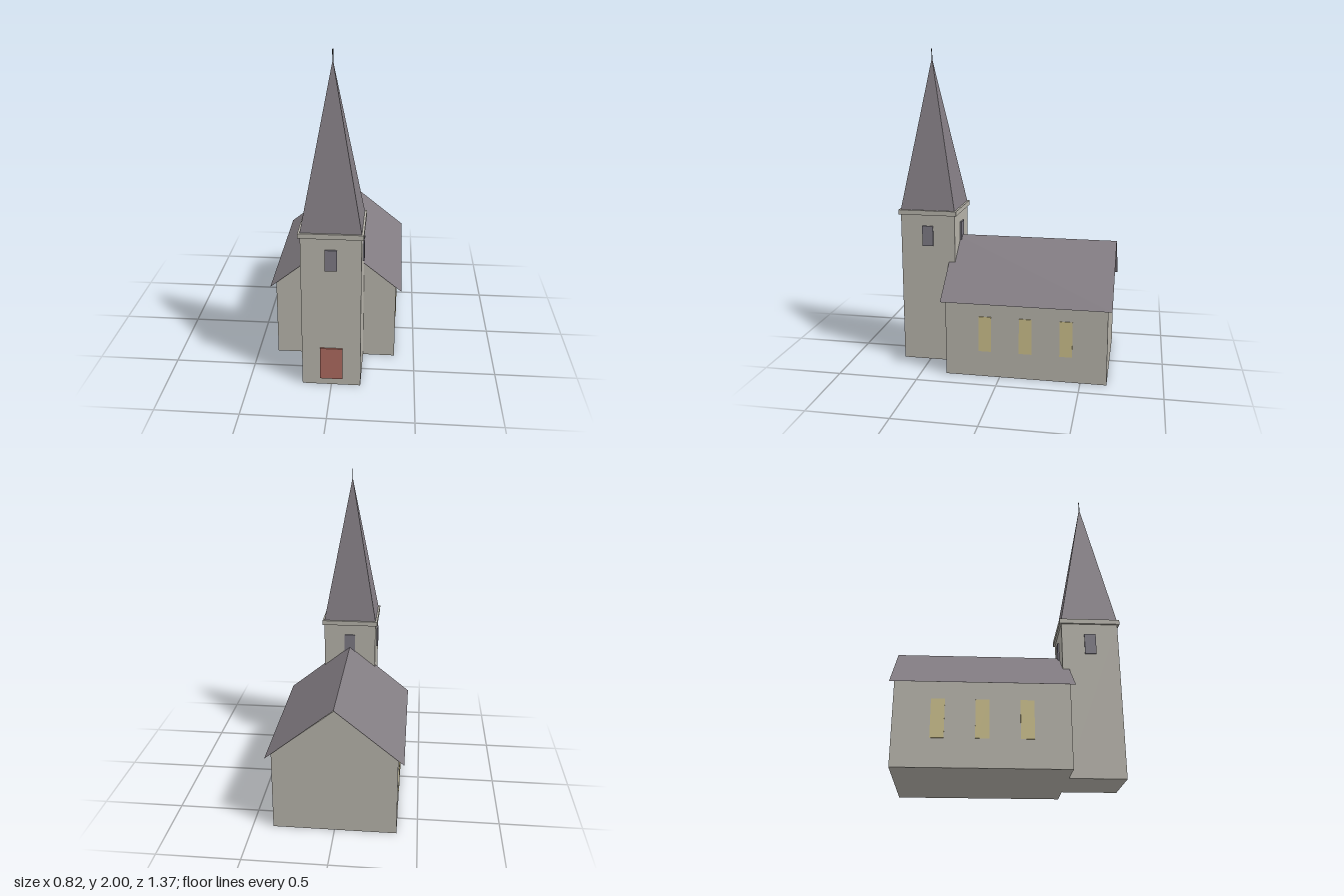
import * as THREE from 'three';

const material = (name, color, side = THREE.FrontSide) => {
  const m = new THREE.MeshStandardMaterial({ color, side });
  m.name = name;
  return m;
};

export function createModel() {
  const wall = material('stone wall', 0xb5b2a9);
  const roof = material('slate roof', 0x827c82, THREE.DoubleSide);
  const shutter = material('dark window', 0x7c7983);
  const glass = material('warm window', 0xc9bd8a);
  const paint = material('red door', 0xab695e);
  const iron = material('dark iron', 0x333336);

  const group = new THREE.Group();
  const add = (name, geometry, mat, x = 0, y = 0, z = 0, parent = group) => {
    const mesh = new THREE.Mesh(geometry, mat);
    mesh.name = name;
    mesh.position.set(x, y, z);
    parent.add(mesh);
    return mesh;
  };

  // Nave: gabled outline extruded along z
  const gable = new THREE.Shape([
    [-0.375, 0], [0.375, 0], [0.375, 0.5], [0, 0.795], [-0.375, 0.5],
  ].map(([x, y]) => new THREE.Vector2(x, y)));
  add('nave', new THREE.ExtrudeGeometry(gable, { depth: 1, bevelEnabled: false }), wall, 0, 0, -0.66);

  // Thin roof slopes from ridge to eaves
  const run = 0.41, rise = 0.33;
  for (const s of [-1, 1]) {
    const slope = new THREE.PlaneGeometry(Math.hypot(run, rise), 1.05);
    slope.rotateX(-Math.PI / 2).rotateZ(-s * Math.atan2(rise, run));
    add(s > 0 ? 'leftRoofSlope' : 'rightRoofSlope', slope, roof, s * run / 2, 0.48 + rise / 2, -0.16);
  }

  // Nave windows, three on each side
  for (const s of [-1, 1])
    for (const z of [0.092, -0.16, -0.41])
      add('naveWindow', new THREE.BoxGeometry(0.008, 0.225, 0.078), glass, s * 0.376, 0.278, z);

  // Tower, centred on its own group
  const tower = new THREE.Group();
  tower.name = 'tower';
  tower.position.z = 0.5;
  group.add(tower);
  add('towerWalls', new THREE.BoxGeometry(0.35, 0.97, 0.35), wall, 0, 0.485, 0, tower);
  add('cornice', new THREE.BoxGeometry(0.375, 0.03, 0.375), wall, 0, 0.985, 0, tower);

  // Four-sided spire with its finial
  const spire = new THREE.ConeGeometry(0.175 * Math.SQRT2, 0.945, 4, 1, true).rotateY(Math.PI / 4).toNonIndexed();
  spire.computeVertexNormals();
  add('spire', spire, roof, 0, 1.4725, 0, tower);
  add('finial', new THREE.CylinderGeometry(0.003, 0.003, 0.08, 6), iron, 0, 1.96, 0, tower);

  // Belfry window on each tower face
  for (let i = 0; i < 4; i++) {
    const a = i * Math.PI / 2;
    const pane = add('belfryWindow', new THREE.BoxGeometry(0.07, 0.13, 0.0098), shutter,
      Math.sin(a) * 0.18, 0.835, Math.cos(a) * 0.18, tower);
    pane.rotation.y = a;
  }

  add('door', new THREE.BoxGeometry(0.135, 0.21, 0.0098), paint, 0, 0.15, 0.18, tower);
  return group;
}
